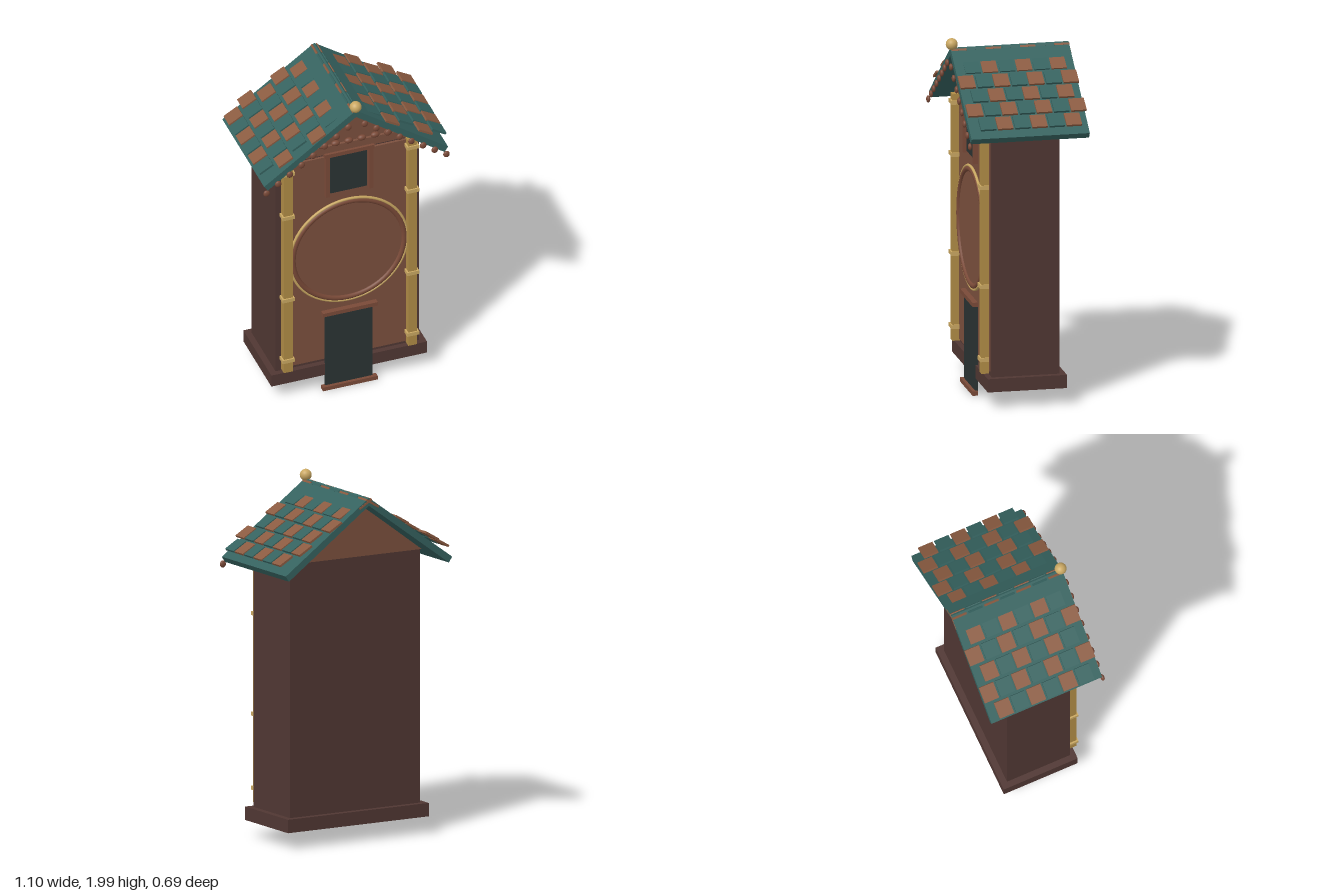
import * as THREE from 'three';

const mat = (color) => new THREE.MeshStandardMaterial({ color });

export function createModel() {
  const model = new THREE.Group();
  const M = {
    dark: mat(0x503733), panel: mat(0x7c503e), trim: mat(0x7a4a38), roof: mat(0x35625f),
    tile: mat(0x8b5b41), gold: mat(0xb08c46), pale: mat(0xcaa862), black: mat(0x2a3333),
  };

  const add = (name, geo, material, x = 0, y = 0, z = 0, parent = model) => {
    const m = new THREE.Mesh(geo, material);
    m.name = name;
    m.position.set(x, y, z);
    parent.add(m);
    return m;
  };
  // Box given by its limits
  const box = (name, material, x0, x1, y0, y1, z0, z1) =>
    add(name, new THREE.BoxGeometry(x1 - x0, y1 - y0, z1 - z0), material,
      (x0 + x1) / 2, (y0 + y1) / 2, (z0 + z1) / 2);
  // Outline in x and y, extruded from z0 to z1
  const prism = (name, material, pts, z0, z1) => {
    const shape = new THREE.Shape(pts.map((p) => new THREE.Vector2(...p)));
    return add(name, new THREE.ExtrudeGeometry(shape, { depth: z1 - z0, bevelEnabled: false }), material, 0, 0, z0);
  };

  // Case
  box('base', M.dark, -0.455, 0.455, 0.1, 0.175, -0.235, 0.21);
  box('body', M.dark, -0.42, 0.42, 0.17, 1.6, -0.2, 0.18);
  box('frontPanel', M.panel, -0.385, 0.385, 0.2, 1.575, 0.17, 0.195);
  prism('gable', M.panel, [[-0.425, 1.595], [0.425, 1.595], [0, 1.905]], -0.21, 0.19);
  box('gableBeam', M.panel, -0.365, 0.365, 1.6, 1.652, 0.17, 0.205);

  // Corner posts with bands
  for (const s of [-1, 1]) {
    box('post', M.gold, s * 0.364 - 0.026, s * 0.364 + 0.026, 0.19, 1.59, 0.19, 0.232);
    for (const y of [0.27, 0.685, 1.247, 1.543])
      add('postBand', new THREE.BoxGeometry(0.07, 0.022, 0.05), M.pale, s * 0.364, y, 0.215);
  }

  // Round face
  const disc = add('dial', new THREE.CylinderGeometry(0.32, 0.32, 0.012, 64), M.panel, 0, 0.92, 0.195);
  disc.rotation.x = Math.PI / 2;
  add('dialRing', new THREE.TorusGeometry(0.325, 0.016, 10, 64), M.trim, 0, 0.92, 0.198);
  add('dialGoldRing', new THREE.TorusGeometry(0.343, 0.008, 8, 64), M.pale, 0, 0.92, 0.202);

  // Hanging door panel and its rails
  box('door', M.black, -0.14, 0.137, 0.02, 0.512, 0.196, 0.212);
  for (const y of [0.018, 0.522])
    add('doorRail', new THREE.BoxGeometry(0.32, 0.024, 0.03), M.trim, 0, y, 0.215);

  // Window and its frame
  box('window', M.black, -0.107, 0.107, 1.328, 1.585, 0.18, 0.205);
  for (const s of [-1, 1])
    box('windowJamb', M.trim, s * 0.127 - 0.012, s * 0.127 + 0.012, 1.315, 1.6, 0.19, 0.22);
  box('windowLintel', M.trim, -0.145, 0.145, 1.583, 1.607, 0.19, 0.22);

  // Roof
  prism('roof', M.roof, [[0, 1.947], [-0.538, 1.563], [-0.517, 1.532], [0, 1.903],
    [0.517, 1.532], [0.538, 1.563]], -0.345, 0.32);

  // Staggered roof tiles in two colours
  const tileGeo = new THREE.BoxGeometry(0.093, 0.012, 0.086);
  for (const s of [-1, 1]) {
    const tiles = new THREE.Group();
    tiles.name = s > 0 ? 'leftTiles' : 'rightTiles';
    model.add(tiles);
    for (let row = 0; row < 6; row++) {
      const odd = row % 2;
      for (let i = 0; i < 6 + odd; i++) {
        const t = add('tile', tileGeo, i % 2 ? M.roof : M.tile, s * (0.505 - row * 0.0965),
          1.637 + row * 0.0555, (odd ? -0.304 : -0.257) + i * 0.0965, tiles);
        t.rotation.z = -s * 0.53;
      }
    }
  }

  // Beads along the eaves and across the gable
  const beadGeo = new THREE.SphereGeometry(0.02, 16, 12);
  for (const s of [-1, 1])
    for (let i = 0; i < 8; i++)
      add('eaveBead', beadGeo, M.trim, s * (0.048 + i * 0.0683), 1.85 - i * 0.0471, 0.327).scale.set(0.95, 1, 0.55);
  for (let i = -4; i <= 4; i++)
    add('gableBead', beadGeo, M.trim, i * 0.077, 1.663, 0.203).scale.set(1.25, 0.85, 0.8);

  // Finial
  add('finial', new THREE.SphereGeometry(0.033, 24, 16), M.pale, 0, 1.967, 0.312);

  return model;
}
